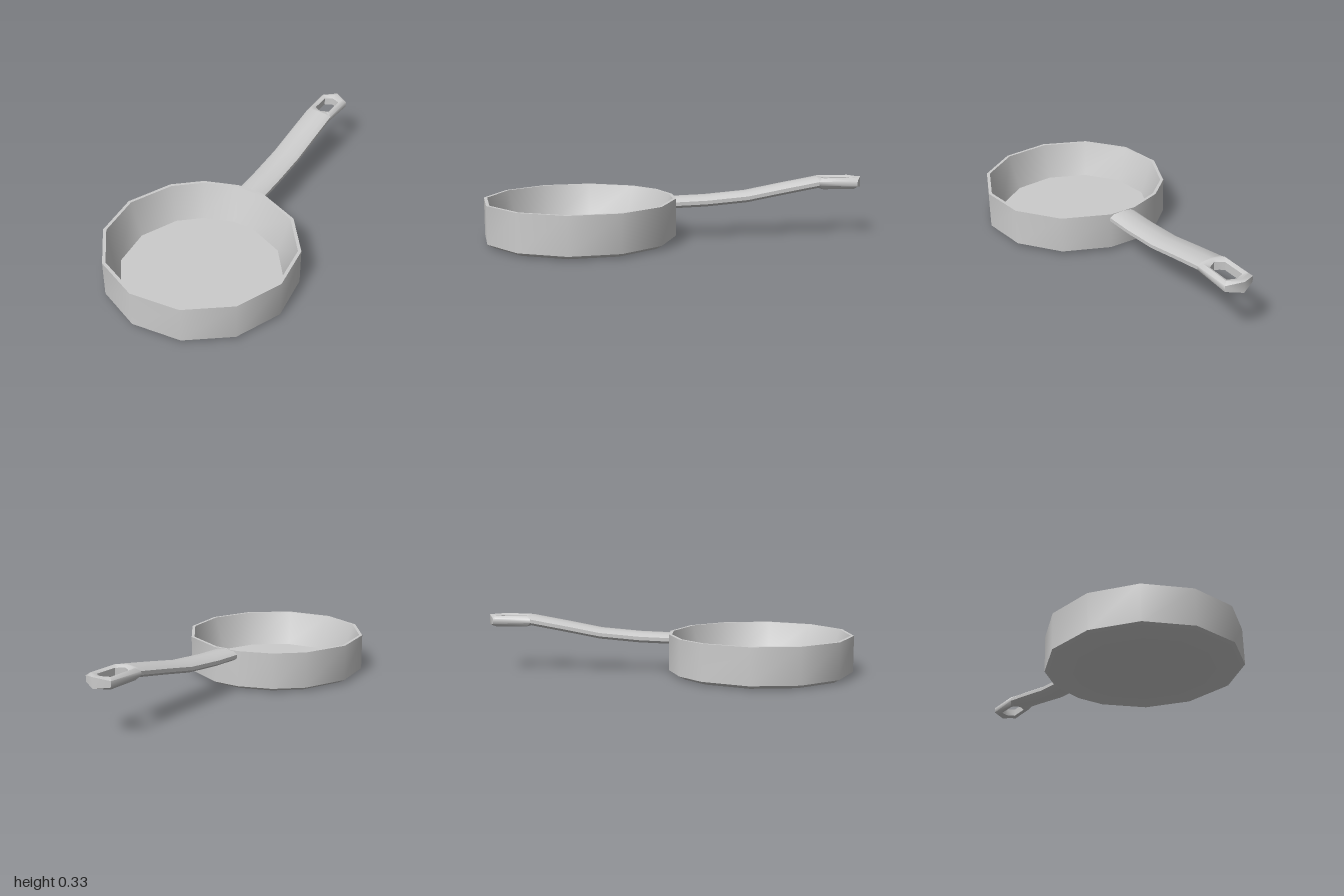
import * as THREE from 'three';
import { toCreasedNormals } from 'three/addons/utils/BufferGeometryUtils.js';

const material = new THREE.MeshStandardMaterial({ color: 0xcccccc, side: THREE.DoubleSide });

// Skins a list of closed rings; optionally joins the last ring to the first.
function skin(name, rings, crease, loop = false) {
  const pos = [];
  const tri = (a, b, c) => {
    if (a.distanceTo(b) > 1e-5 && b.distanceTo(c) > 1e-5 && c.distanceTo(a) > 1e-5)
      pos.push(...a.toArray(), ...b.toArray(), ...c.toArray());
  };
  const last = loop ? rings.length : rings.length - 1;
  for (let i = 0; i < last; i++) {
    const A = rings[i], B = rings[(i + 1) % rings.length];
    for (let j = 0; j < A.length; j++) {
      const k = (j + 1) % A.length;
      tri(A[j], B[j], A[k]);
      tri(A[k], B[j], B[k]);
    }
  }
  const geo = new THREE.BufferGeometry();
  geo.setAttribute('position', new THREE.Float32BufferAttribute(pos, 3));
  const mesh = new THREE.Mesh(toCreasedNormals(geo, crease), material);
  mesh.name = name;
  return mesh;
}

// Pan body: twelve sides, with the rear corner split where the handle joins
function makePan() {
  const angles = [0, 30, 60, 90, 120, 150, 180, 210, 240, 261, 283, 300, 330];
  const profile = [
    [0, 0], [0.495, 0], [0.53, 0.02], [0.53, 0.227],   // underside, bevel, outer wall
    [0.512, 0.227], [0.445, 0.025], [0, 0.025],        // rim, inner wall, floor
  ];
  const rings = profile.map(([r, y]) => angles.map((deg) => {
    const t = THREE.MathUtils.degToRad(deg);
    return new THREE.Vector3(-0.07 + r * Math.cos(t), y, 0.463 + r * Math.sin(t));
  }));
  return skin('panBody', rings, 0.62);
}

// Height of the handle's centre line at distance a from the pan
const rise = [[-0.02, 0.195], [0.17, 0.202], [0.4, 0.222], [0.6, 0.26], [0.8, 0.296], [0.9, 0.288], [1.06, 0.296]];
function centreY(a) {
  let i = 0;
  while (i < rise.length - 2 && a > rise[i + 1][0]) i++;
  const [a0, y0] = rise[i], [a1, y1] = rise[i + 1];
  return y0 + (y1 - y0) * (a - a0) / (a1 - a0);
}

// Handle space: p across, h above the centre line, a along
const S = Math.sin(Math.PI / 8), C = Math.cos(Math.PI / 8);
const at = (p, h, a) => new THREE.Vector3(0.125 + p * C + a * S, centreY(a) + h, -0.025 + p * S - a * C);

// Shaft: one rounded flat section swept along the bend
function makeShaft() {
  const section = [
    [0.08, -0.01], [0.08, 0.01], [0.055, 0.026], [0, 0.031], [-0.055, 0.026],
    [-0.08, 0.01], [-0.08, -0.01], [-0.055, -0.026], [0, -0.031], [0.055, -0.026],
  ];
  const rings = [-0.012, 0.17, 0.4, 0.6, 0.8].map((a) => section.map(([p, h]) => at(p, h, a)));
  return skin('handleShaft', rings, 0.9);
}

// Grip end: a ring of sections around the hanging hole
function makeGripEnd() {
  // Each station: outer p, a, h; crest p, a; inner p, a
  const half = [
    [0, 0.8, 0.031, 0, 0.81, 0, 0.825],
    [0.055, 0.8, 0.026, 0.042, 0.82, 0.028, 0.84],
    [0.08, 0.8, 0.01, 0.064, 0.825, 0.046, 0.853],
    [0.083, 1.016, 0.016, 0.066, 1.0, 0.047, 0.98],
    [0, 1.056, 0.03, 0, 1.03, 0, 1.0],
  ];
  const mirrored = half.slice(1, -1).reverse()
    .map(([p, a, h, cp, ca, ip, ia]) => [-p, a, h, -cp, ca, -ip, ia]);
  const rings = [...half, ...mirrored].map(([p, a, h, cp, ca, ip, ia]) => [
    at(p, -h, a), at(p, h, a), at(cp, 0.031, ca),
    at(ip, 0.022, ia), at(ip, -0.022, ia), at(cp, -0.031, ca),
  ]);
  return skin('handleGripEnd', rings, 0.9, true);
}

export function createModel() {
  const model = new THREE.Group();
  model.name = 'fryingPan';
  const handle = new THREE.Group();
  handle.name = 'handle';
  handle.add(makeShaft(), makeGripEnd());
  model.add(makePan(), handle);
  return model;
}
